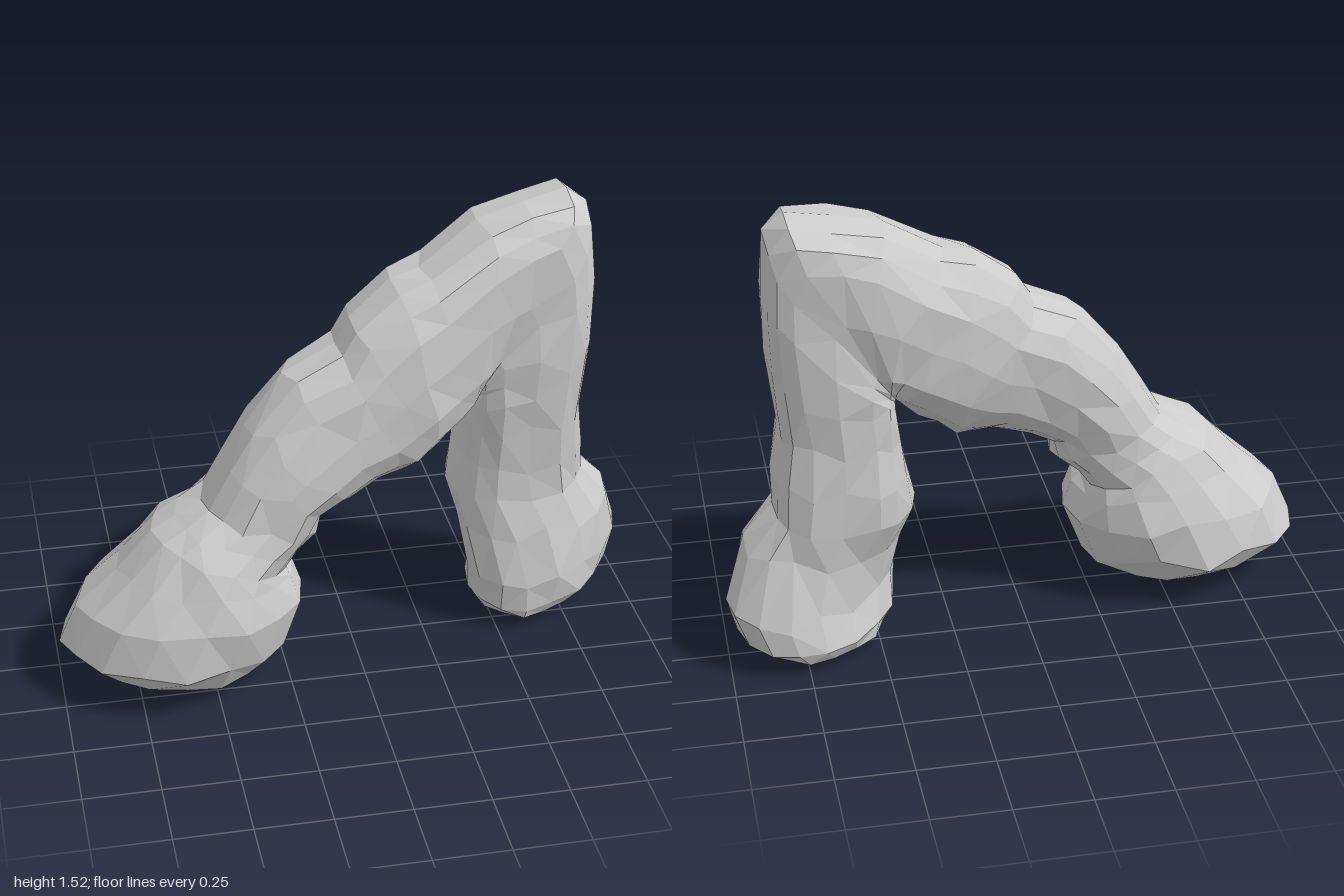
import * as THREE from 'three';

// Each ring: outer edge x,y,z, inner edge x,y,z, half depth, roundness (1 = oval, lower = blockier)
const leftFootRings = [
  [-0.87, 0.08, 0.09, -0.34, 0.04, 0.07, 0.25, 0.95],
  [-1.00, 0.15, 0.08, -0.25, 0.09, 0.06, 0.33, 1.0],
  [-0.94, 0.29, 0.09, -0.18, 0.27, 0.05, 0.34, 1.0],
  [-0.80, 0.41, 0.09, -0.21, 0.36, 0.05, 0.29, 0.95],
  [-0.68, 0.54, 0.08, -0.24, 0.39, 0.05, 0.26, 0.9],
  [-0.60, 0.58, 0.07, -0.21, 0.44, 0.05, 0.23, 0.85],
  [-0.51, 0.62, 0.05, -0.13, 0.49, 0.04, 0.21, 0.85],
];
const spanRings = [
  [-0.44, 0.74, 0.04, -0.13, 0.56, 0.04, 0.21, 0.85],
  [-0.36, 0.87, 0.03, -0.04, 0.60, 0.04, 0.21, 0.85],
  [-0.23, 1.03, 0.00, 0.08, 0.65, 0.01, 0.20, 0.85],
  [-0.05, 1.11, -0.02, 0.16, 0.66, -0.02, 0.21, 0.8],
  [0.00, 1.19, -0.04, 0.22, 0.67, -0.04, 0.22, 0.8],
  [0.14, 1.30, -0.07, 0.28, 0.72, -0.05, 0.23, 0.8],
  [0.24, 1.32, -0.09, 0.34, 0.77, -0.08, 0.23, 0.75],
  [0.44, 1.45, -0.14, 0.39, 0.82, -0.10, 0.22, 0.65],
  [0.60, 1.49, -0.16, 0.41, 0.86, -0.12, 0.21, 0.55],
  [0.75, 1.52, -0.18, 0.42, 0.87, -0.14, 0.19, 0.55],
];
const rightLegRings = [
  [0.82, 1.47, -0.18, 0.42, 0.86, -0.14, 0.18, 0.55],
  [0.83, 1.25, -0.17, 0.42, 0.85, -0.15, 0.19, 0.55],
  [0.83, 1.05, -0.16, 0.42, 0.83, -0.15, 0.20, 0.6],
  [0.80, 0.80, -0.16, 0.41, 0.75, -0.15, 0.19, 0.7],
  [0.83, 0.65, -0.17, 0.39, 0.62, -0.16, 0.19, 0.75],
  [0.83, 0.52, -0.19, 0.36, 0.49, -0.16, 0.20, 0.8],
  [0.93, 0.42, -0.20, 0.39, 0.38, -0.10, 0.20, 0.9],
  [1.00, 0.22, -0.26, 0.42, 0.20, -0.05, 0.235, 1.0],
  [0.97, 0.11, -0.27, 0.43, 0.09, -0.08, 0.27, 1.0],
  [0.88, 0.04, -0.24, 0.46, 0.04, -0.10, 0.24, 1.0],
];
const SIDES = 16;

// Repeatable value from -1 to 1 for a ring and side
function rough(i, j) {
  const s = Math.sin(i * 127.1 + j * 311.7) * 43758.5453;
  return (s - Math.floor(s)) * 2 - 1;
}

// Blunt oval spanning the outer and inner edges, with a chipped surface
function ringPoints([ox, oy, oz, ix, iy, iz, depth, roundness], i) {
  const outer = new THREE.Vector3(ox, oy, oz);
  const inner = new THREE.Vector3(ix, iy, iz);
  const mid = outer.clone().add(inner).multiplyScalar(0.5);
  const half = outer.clone().sub(mid);
  const blunt = (v) => Math.sign(v) * Math.abs(v) ** roundness;
  return Array.from({ length: SIDES }, (_, j) => {
    const a = (j / SIDES) * Math.PI * 2;
    const flank = Math.abs(Math.sin(a));
    const across = blunt(Math.cos(a)) * (1 + 0.06 * flank * rough(i, j));
    const p = mid.clone().addScaledVector(half, across);
    p.z += blunt(Math.sin(a)) * depth * (1 + 0.06 * rough(i + 40, j));
    return p;
  });
}

// Slide flank points towards the next ring so the facets look irregular
function breakUp(ring, i, rings) {
  const next = rings[Math.min(i + 1, rings.length - 1)];
  return ring.map((p, j) => {
    const flank = Math.abs(Math.sin((j / SIDES) * Math.PI * 2));
    return p.clone().lerp(next[j], 0.5 * flank * Math.abs(rough(i + 80, j)));
  });
}

// Faceted skin over consecutive rings, with optional end points
function loft(name, rings, startTip, endTip) {
  const pos = [];
  const face = (...pts) => pts.forEach((p) => pos.push(p.x, p.y, p.z));
  for (let j = 0; j < SIDES; j++) {
    const k = (j + 1) % SIDES;
    for (let i = 0; i < rings.length - 1; i++) {
      const a = rings[i][j], b = rings[i][k], c = rings[i + 1][j], d = rings[i + 1][k];
      // Split each quad along its shorter diagonal
      if (a.distanceTo(d) < b.distanceTo(c)) {
        face(a, b, d);
        face(a, d, c);
      } else {
        face(a, b, c);
        face(b, d, c);
      }
    }
    if (startTip) face(startTip, rings[0][k], rings[0][j]);
    if (endTip) face(endTip, rings.at(-1)[j], rings.at(-1)[k]);
  }
  const geometry = new THREE.BufferGeometry();
  geometry.setAttribute('position', new THREE.Float32BufferAttribute(pos, 3));
  geometry.computeVertexNormals();
  const material = new THREE.MeshStandardMaterial({
    color: 0xcccccc, flatShading: true, side: THREE.DoubleSide,
  });
  const mesh = new THREE.Mesh(geometry, material);
  mesh.name = name;
  return mesh;
}

export function createModel() {
  const group = new THREE.Group();
  group.name = 'rockArch';
  const rings = [...leftFootRings, ...spanRings, ...rightLegRings].map(ringPoints).map(breakUp);
  const spanStart = leftFootRings.length;
  const legStart = spanStart + spanRings.length;
  // Neighbouring parts share a ring so the rock is continuous
  group.add(
    loft('leftFoot', rings.slice(0, spanStart + 1), new THREE.Vector3(-0.52, 0.02, 0.1)),
    loft('archSpan', rings.slice(spanStart, legStart + 1)),
    loft('rightLeg', rings.slice(legStart), null, new THREE.Vector3(0.68, 0, -0.15)),
  );
  return group;
}
